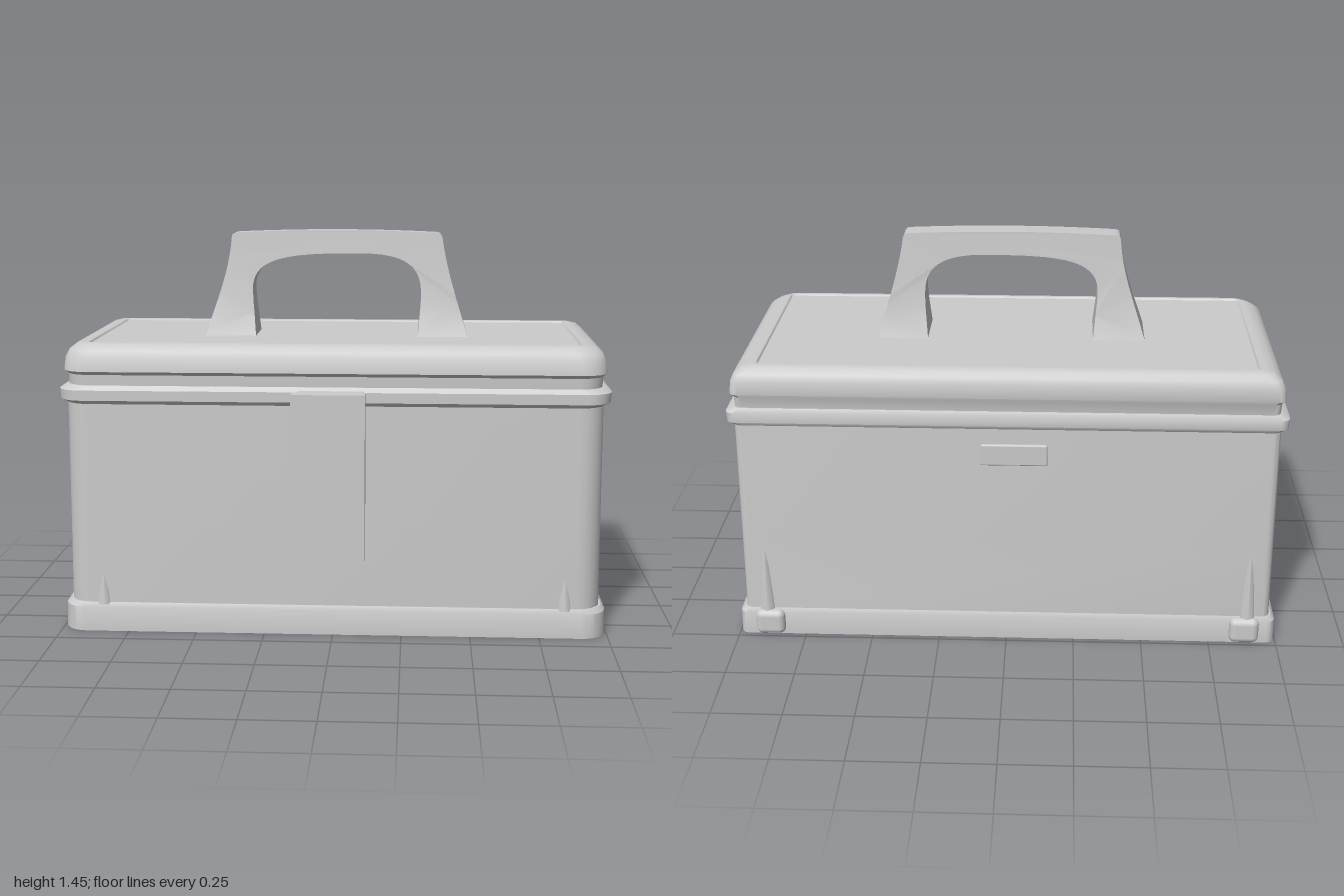
import * as THREE from 'three';
import { toCreasedNormals } from 'three/addons/utils/BufferGeometryUtils.js';
import { RoundedBoxGeometry } from 'three/addons/geometries/RoundedBoxGeometry.js';

const grey = new THREE.MeshStandardMaterial({ color: 0xcccccc });

function part(parent, name, geometry, x = 0, y = 0, z = 0) {
  const mesh = new THREE.Mesh(geometry, grey);
  mesh.name = name;
  mesh.position.set(x, y, z);
  parent.add(mesh);
  return mesh;
}

// Rounded rectangle in the ground plane: wide corners in front, tight ones behind
function ring([y, hx, back, front, rFront = 0.09, rBack = 0.03]) {
  const points = [];
  const corners = [[1, 1], [-1, 1], [-1, -1], [1, -1]];
  corners.forEach(([sx, sz], c) => {
    const r = sz > 0 ? rFront : rBack;
    const cx = sx * (hx - r);
    const cz = sz > 0 ? front - r : back + r;
    for (let i = 0; i <= 6; i++) {
      const a = (c + i / 6) * Math.PI / 2;
      points.push([cx + r * Math.cos(a), y, cz + r * Math.sin(a)]);
    }
  });
  return points;
}

// Stack of rings from bottom to top, closed at both ends
function loft(rows) {
  const rings = rows.map(ring);
  const n = rings[0].length;
  const last = rings.length - 1;
  const index = [];
  for (let i = 0; i < last; i++) {
    for (let j = 0; j < n; j++) {
      const k = (j + 1) % n;
      const a = i * n + j, b = i * n + k;
      index.push(a, a + n, b, b, a + n, b + n);
    }
  }
  for (let j = 1; j < n - 1; j++) {
    index.push(0, j, j + 1);
    index.push(last * n, last * n + j + 1, last * n + j);
  }
  const g = new THREE.BufferGeometry();
  g.setAttribute('position', new THREE.Float32BufferAttribute(rings.flat(2), 3));
  g.setIndex(index);
  return toCreasedNormals(g, 0.6);
}

// Arched grip whose legs flare towards the lid
function handleGeometry() {
  const s = new THREE.Shape();
  s.moveTo(-0.5, 1.04);
  s.bezierCurveTo(-0.47, 1.15, -0.41, 1.28, -0.40, 1.42);
  s.quadraticCurveTo(-0.40, 1.435, -0.38, 1.437);
  s.quadraticCurveTo(0, 1.455, 0.37, 1.437);
  s.quadraticCurveTo(0.385, 1.435, 0.39, 1.42);
  s.bezierCurveTo(0.41, 1.28, 0.46, 1.15, 0.49, 1.04);
  s.lineTo(0.30, 1.04);
  s.bezierCurveTo(0.305, 1.12, 0.315, 1.18, 0.31, 1.24);
  s.bezierCurveTo(0.30, 1.33, 0.22, 1.355, 0.12, 1.36);
  s.lineTo(-0.02, 1.36);
  s.bezierCurveTo(-0.22, 1.355, -0.31, 1.33, -0.32, 1.24);
  s.bezierCurveTo(-0.32, 1.18, -0.31, 1.12, -0.305, 1.04);
  const g = new THREE.ExtrudeGeometry(s, { depth: 2, bevelEnabled: false, curveSegments: 14 });
  const p = g.attributes.position;
  for (let i = 0; i < p.count; i++) {
    const t = Math.max(0, (1.44 - p.getY(i)) / 0.4);
    const half = 0.04 + 0.032 * t + 0.035 * t ** 4;
    p.setZ(i, (p.getZ(i) - 1) * half - 0.02);
  }
  return toCreasedNormals(g, 0.6);
}

// Side profile (z, y) extruded across x
function sideExtrude(points, width) {
  const s = new THREE.Shape(points.map(([z, y]) => new THREE.Vector2(-z, y)));
  const g = new THREE.ExtrudeGeometry(s, { depth: width, bevelEnabled: false });
  g.translate(0, 0, -width / 2);
  g.rotateY(Math.PI / 2);
  return g;
}

export function createModel() {
  const model = new THREE.Group();
  model.name = 'toolBox';

  part(model, 'base', loft([
    [0, 0.995, -0.48, 0.415], [0.09, 0.993, -0.482, 0.415],
    [0.108, 0.98, -0.475, 0.408],
  ]));
  part(model, 'body', loft([
    [0.09, 0.972, -0.474, 0.405], [0.4, 0.97, -0.47, 0.405],
    [0.86, 0.968, -0.463, 0.405],
  ]));
  part(model, 'rimBand', loft([
    [0.845, 0.968, -0.463, 0.405], [0.858, 0.992, -0.47, 0.414],
    [0.895, 0.995, -0.47, 0.414], [0.912, 0.97, -0.463, 0.402],
  ]));
  part(model, 'lid', loft([
    [0.90, 0.962, -0.458, 0.40], [0.95, 0.965, -0.46, 0.402],
    [0.962, 0.978, -0.466, 0.412], [1.01, 0.972, -0.464, 0.407],
    [1.035, 0.96, -0.456, 0.395], [1.054, 0.936, -0.44, 0.375],
    [1.062, 0.905, -0.418, 0.352, 0.05, 0.02],
    [1.061, 0.885, -0.402, 0.342, 0.02, 0.01],
    [1.055, 0.88, -0.398, 0.337, 0.02, 0.01],
  ]));
  part(model, 'handle', handleGeometry());

  // Front latch hanging from a short hinge
  part(model, 'latchPlate', sideExtrude([
    [0.53, 0.297], [0.53, 0.905], [0.47, 0.905], [0.463, 0.85],
    [0.463, 0.6], [0.45, 0.32], [0.47, 0.305],
  ], 0.26), -0.01);
  part(model, 'latchHinge', sideExtrude([
    [0.48, 0.9], [0.40, 0.9], [0.40, 0.81], [0.417, 0.84], [0.44, 0.857], [0.48, 0.862],
  ], 0.235), -0.005);

  // Small plate standing off the back
  part(model, 'backPlate', new RoundedBoxGeometry(0.235, 0.08, 0.016, 2, 0.006), -0.03, 0.775, -0.524);

  // Corner reinforcements
  for (const side of [-1, 1]) {
    part(model, 'frontCornerRib', new THREE.CylinderGeometry(0.008, 0.03, 0.2, 8), side * 0.84, 0.2, 0.388);
    part(model, 'backCornerRib', new THREE.CylinderGeometry(0.01, 0.035, 0.32, 8), side * 0.89, 0.24, -0.458);
    part(model, 'backCornerFoot', new RoundedBoxGeometry(0.11, 0.1, 0.06, 3, 0.025), side * 0.88, 0.055, -0.474);
  }
  return model;
}
